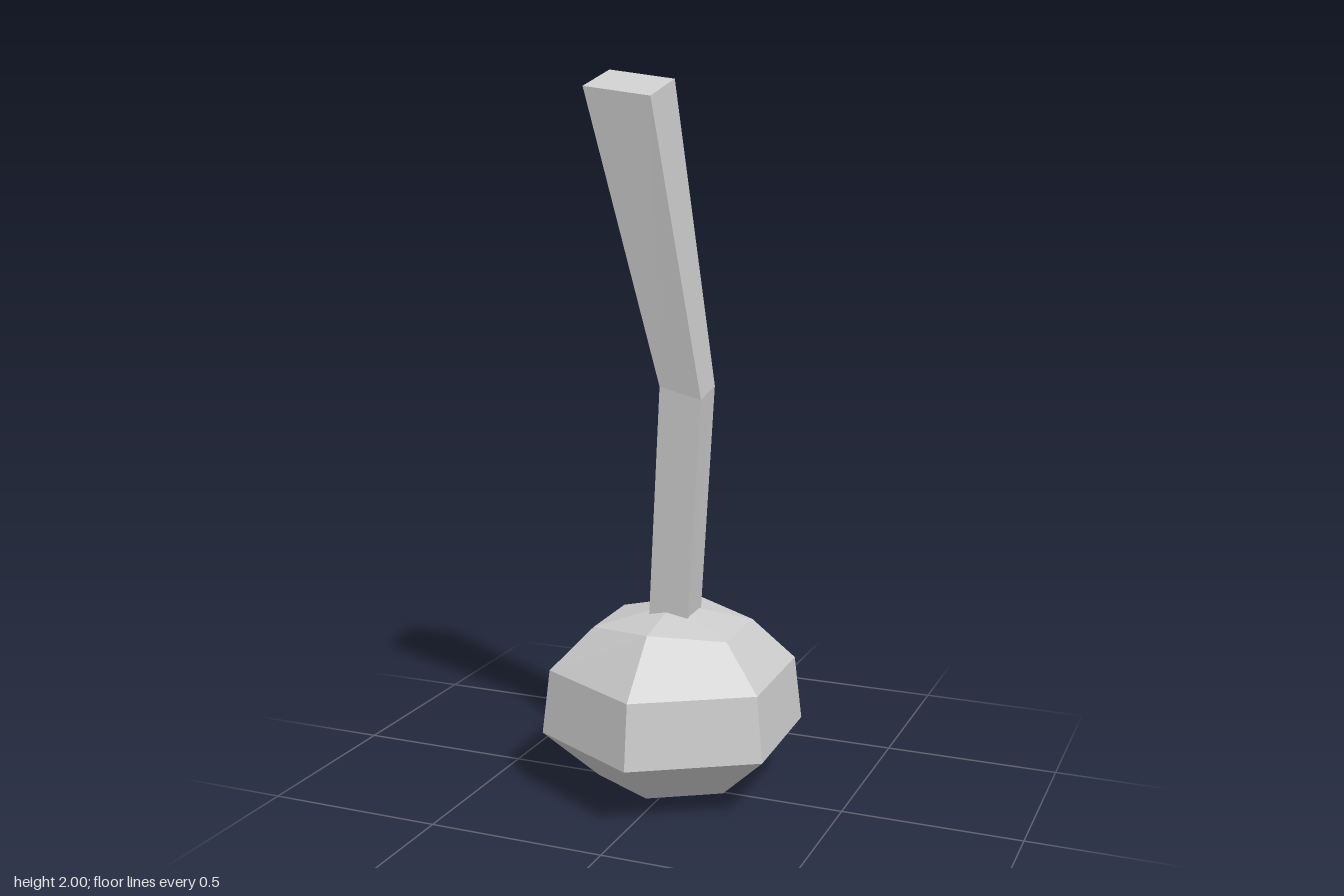
import * as THREE from 'three';

// Closed faceted skin through rings of corners, listed bottom to top, with a centre point at each end.
function loft(bottom, rings, top) {
  const pos = [];
  const tri = (a, b, c) => pos.push(...a, ...b, ...c);
  const n = rings[0].length;
  const last = rings[rings.length - 1];
  for (let k = 0; k < n; k++) {
    const m = (k + 1) % n;
    tri(bottom, rings[0][m], rings[0][k]);
    for (let i = 0; i < rings.length - 1; i++) {
      const lo = rings[i], hi = rings[i + 1];
      tri(lo[k], lo[m], hi[m]);
      tri(lo[k], hi[m], hi[k]);
    }
    tri(last[k], last[m], top);
  }
  const geo = new THREE.BufferGeometry();
  geo.setAttribute('position', new THREE.Float32BufferAttribute(pos, 3));
  geo.computeVertexNormals();
  return geo;
}

// Six corners, turned slightly; the four side corners may differ from the front and back ones.
function hexRing(r, y, sideR = r, sideY = y) {
  return Array.from({ length: 6 }, (_, k) => {
    const a = THREE.MathUtils.degToRad(1.6 + k * 60);
    const side = k % 3 !== 0;
    const rad = side ? sideR : r;
    return [rad * Math.sin(a), side ? sideY : y, rad * Math.cos(a)];
  });
}

export function createModel() {
  const group = new THREE.Group();
  const material = new THREE.MeshStandardMaterial({ color: 0xcccccc, flatShading: true });
  const add = (name, geo) => {
    const mesh = new THREE.Mesh(geo, material);
    mesh.name = name;
    group.add(mesh);
  };

  // Rounded hexagonal bulb
  add('bulb', loft([0, 0, 0], [
    hexRing(0.215, 0.043),
    hexRing(0.373, 0.18),
    hexRing(0.351, 0.362),
    hexRing(0.205, 0.505, 0.226, 0.482),
  ], [0, 0.54, 0]));

  // Bent square stalk: front left, front right, back right, back left
  add('stalk', loft([0.005, 0.5, 0], [
    [[-0.05, 0.5, 0.06], [0.063, 0.5, 0.055], [0.06, 0.5, -0.055], [-0.048, 0.5, -0.05]],
    [[0, 1.17, 0.1], [0.117, 1.14, 0.095], [0.112, 1.16, -0.022], [-0.004, 1.19, -0.016]],
    [[-0.152, 1.955, 0.24], [0.03, 1.93, 0.228], [0.022, 1.975, 0.046], [-0.16, 2, 0.056]],
  ], [-0.065, 1.965, 0.1425]));

  return group;
}
